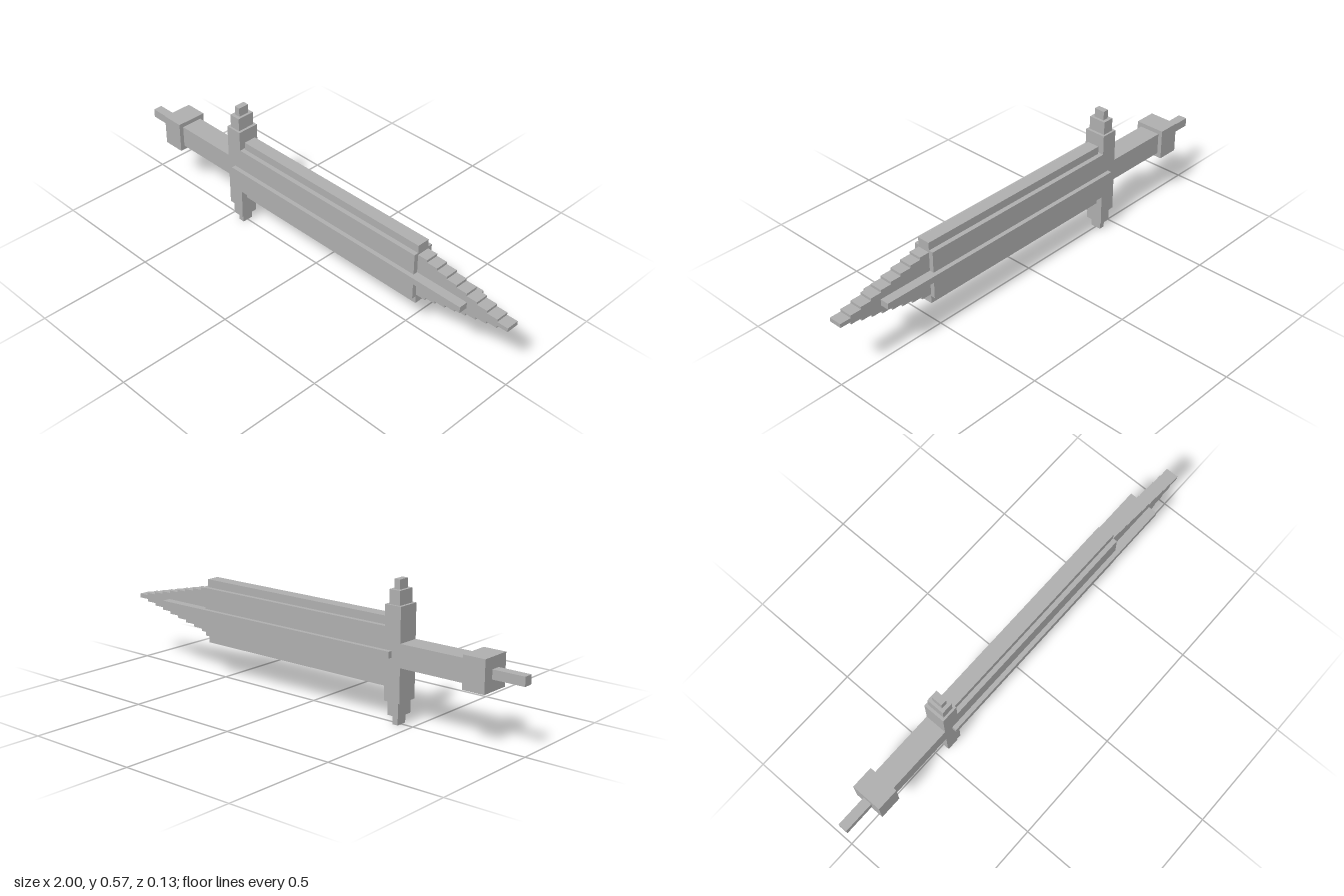
import * as THREE from 'three';

export function createModel() {
  const group = new THREE.Group();
  group.name = 'sword';
  const steel = new THREE.MeshStandardMaterial({ color: 0xb0b0b0 });
  steel.name = 'grey steel';
  const midY = 0.2865; // height of the long axis

  // Box from x0 to x1, centred on the long axis, with half height and half depth
  function block(name, x0, x1, halfY, halfZ) {
    const mesh = new THREE.Mesh(new THREE.BoxGeometry(x1 - x0, halfY * 2, halfZ * 2), steel);
    mesh.name = name;
    mesh.position.set((x0 + x1) / 2, midY, 0);
    group.add(mesh);
  }

  // Handle end
  block('pommelSpike', -1, -0.862, 0.019, 0.02);
  block('pommel', -0.862, -0.765, 0.0665, 0.067);
  block('grip', -0.765, -0.47, 0.0475, 0.048);

  // Stepped crossguard
  block('guard', -0.47, -0.396, 0.19, 0.048);
  block('guardStep', -0.458, -0.408, 0.2475, 0.039);
  block('guardTip', -0.446, -0.42, 0.2865, 0.024);

  // Blade with thinner cutting edges and a raised central rib
  block('blade', -0.396, 0.567, 0.1045, 0.048);
  block('bladeEdges', -0.388, 0.567, 0.1385, 0.028);
  block('centralRib', -0.43, 0.81, 0.0135, 0.067);

  // Point, narrowing in equal steps
  const steps = 9, start = 0.567, pitch = 0.0485;
  for (let i = 0; i < steps; i++) {
    const x0 = i === 0 ? start : 1 - (steps - i) * pitch;
    block('pointStep' + (i + 1), x0, 1 - (steps - 1 - i) * pitch, 0.096 - i * 0.0109, 0.028);
  }
  return group;
}
